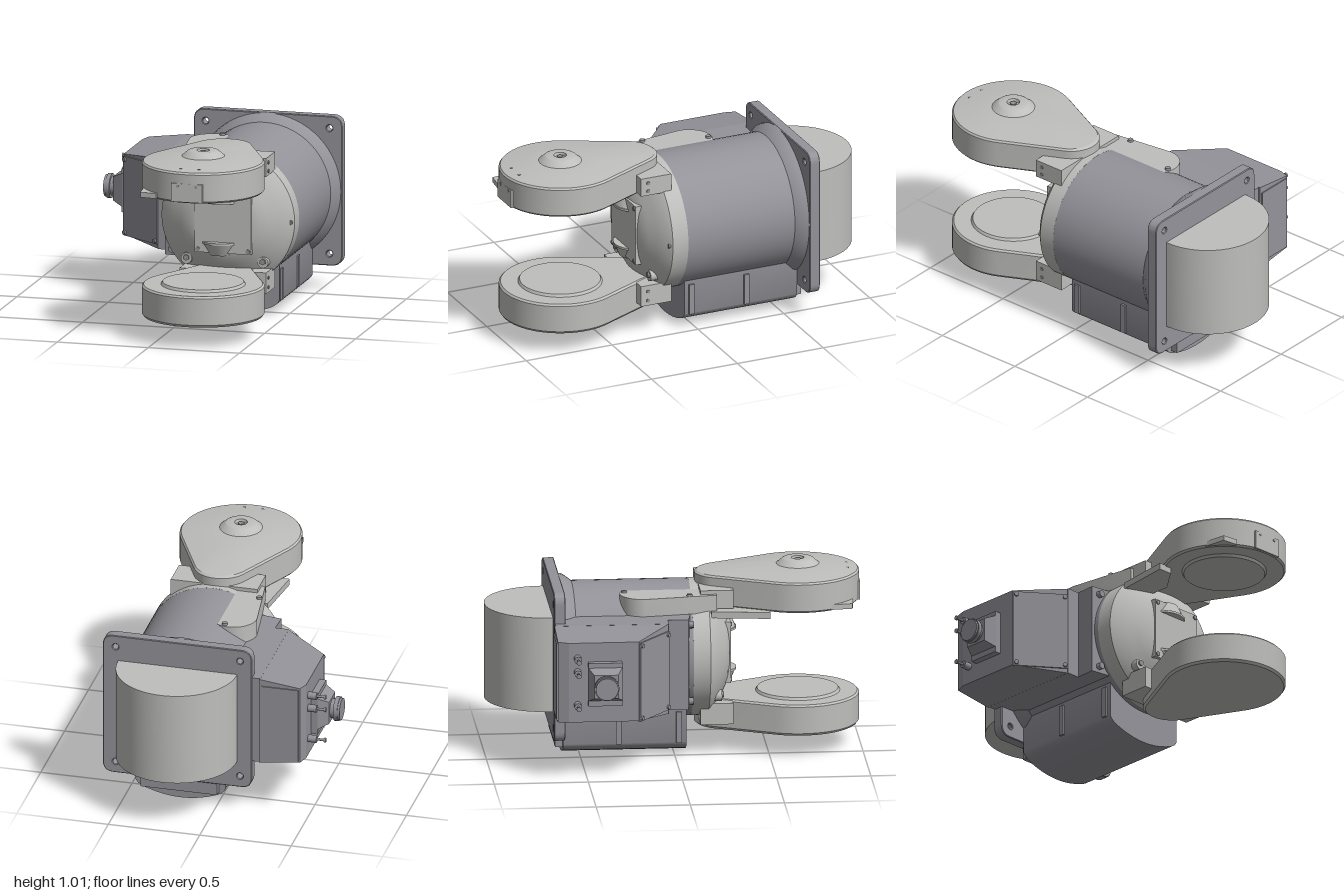
import * as THREE from 'three';
import { toCreasedNormals } from 'three/addons/utils/BufferGeometryUtils.js';

const CX = 0.21, CY = 0.54; // main axis
const ARM_Z = 0.67, R = 0.325, NECK_Z = 0.27, NECK_R = 0.15;

export function createModel() {
  const light = new THREE.MeshStandardMaterial({ color: 0xbebebc, name: 'lightGrey' });
  const grey = new THREE.MeshStandardMaterial({ color: 0x94939a, name: 'midGrey' });
  const group = new THREE.Group();

  const add = (name, geo, mat, x = 0, y = 0, z = 0) => {
    const m = new THREE.Mesh(geo, mat);
    m.name = name;
    m.position.set(x, y, z);
    group.add(m);
    return m;
  };
  const smooth = (g, a = 0.6) => toCreasedNormals(g, a);
  const box = (name, mat, x0, x1, y0, y1, z0, z1) => add(name, new THREE.BoxGeometry(x1 - x0, y1 - y0, z1 - z0),
    mat, (x0 + x1) / 2, (y0 + y1) / 2, (z0 + z1) / 2);
  // cylinder along x, y or z
  const rod = (name, mat, axis, r0, r1, len, x, y, z, n = 24) => {
    const g = new THREE.CylinderGeometry(r1, r0, len, n);
    if (axis === 'z') g.rotateX(Math.PI / 2);
    if (axis === 'x') g.rotateZ(Math.PI / 2);
    return add(name, g, mat, x, y, z);
  };
  // plan outline [x, z] extruded upward from y0 to y1
  const slab = (pts, y0, y1) => {
    const s = new THREE.Shape(pts.map(([x, z]) => new THREE.Vector2(x, -z)));
    const g = new THREE.ExtrudeGeometry(s, { depth: y1 - y0, bevelEnabled: false });
    return smooth(g.rotateX(-Math.PI / 2).translate(0, y0, 0));
  };
  // body of revolution around the main axis, points [radius, z]
  const turned = (name, mat, pts) => add(name, smooth(new THREE.LatheGeometry(
    pts.map(([r, z]) => new THREE.Vector2(r, z)), 64).rotateX(Math.PI / 2)), mat, CX, CY, 0);

  // Main barrel, flange collar and domed front cap
  turned('barrel', grey, [[0, -0.62], [0.365, -0.62], [0.365, 0.09], [0, 0.09]]);
  turned('flangeCollar', grey, [[0.36, -0.61], [0.405, -0.61], [0.4, -0.575], [0.366, -0.53]]);
  turned('frontCap', light, [[0, 0.09], [0.3655, 0.09], [0.3655, 0.18], [0.34, 0.205], [0.29, 0.235],
    [0.24, 0.265], [0.2, 0.285], [0.16, 0.296], [0, 0.297]]);

  // Mounting flange with rounded corners and bolt holes
  const [x0, x1, y0, y1, c] = [-0.195, 0.62, 0.135, 0.945, 0.06];
  const plate = new THREE.Shape();
  plate.moveTo(x0 + c, y0).lineTo(x1 - c, y0).quadraticCurveTo(x1, y0, x1, y0 + c)
    .lineTo(x1, y1 - c).quadraticCurveTo(x1, y1, x1 - c, y1)
    .lineTo(x0 + c, y1).quadraticCurveTo(x0, y1, x0, y1 - c)
    .lineTo(x0, y0 + c).quadraticCurveTo(x0, y0, x0 + c, y0);
  for (const hx of [-0.13, 0.55]) for (const hy of [0.2, 0.88]) {
    plate.holes.push(new THREE.Path().absarc(hx, hy, 0.016, 0, Math.PI * 2, true));
  }
  add('mountingFlange', smooth(new THREE.ExtrudeGeometry(plate,
    { depth: 0.052, bevelSize: 0.004, bevelThickness: 0.004, bevelOffset: -0.004, bevelSegments: 1 })), grey, 0, 0, -0.652);

  // Rear drum
  const drumPts = [[CX + R, -0.61]];
  for (let i = 0; i <= 40; i++) {
    const a = Math.PI * i / 40;
    drumPts.push([CX + R * Math.cos(a), -0.67 - R * Math.sin(a)]);
  }
  drumPts.push([CX - R, -0.61]);
  add('rearDrum', slab(drumPts, 0.285, 0.8), light);

  // Teardrop outline of the fork arms, counter-clockwise from above
  const b = Math.acos((R - NECK_R) / (ARM_Z - NECK_Z));
  const tear = [];
  const arc = (z, r, from, to, n) => {
    for (let i = 0; i <= n; i++) {
      const t = from + (to - from) * i / n;
      tear.push([r * Math.sin(t), z - ARM_Z + r * Math.cos(t)]);
    }
  };
  arc(ARM_Z, R, b - Math.PI, Math.PI - b, 48);
  arc(NECK_Z, NECK_R, Math.PI - b, Math.PI + b, 20);

  // Loft of scaled outlines, profile [scale, y] listed bottom to top
  const armGeometry = (profile) => {
    const pos = [], idx = [], n = tear.length;
    for (const [s, y] of profile) for (const [x, z] of tear) pos.push(CX + x * s, y, ARM_Z + z * s);
    for (let i = 0; i < profile.length - 1; i++) for (let j = 0; j < n; j++) {
      const a = i * n + j, d = i * n + (j + 1) % n;
      idx.push(a, d, d + n, a, d + n, a + n);
    }
    const g = new THREE.BufferGeometry();
    g.setAttribute('position', new THREE.Float32BufferAttribute(pos, 3));
    g.setIndex(idx);
    return smooth(g, 0.5);
  };
  add('upperArm', armGeometry([[0.002, 0.795], [0.97, 0.795], [1, 0.805], [1, 0.95], [0.975, 0.96],
    [0.6, 0.978], [0.35, 0.985], [0.002, 0.985]]), light);
  add('lowerArm', armGeometry([[0.002, 0.1], [0.5, 0.1], [0.97, 0.122], [1, 0.135], [1, 0.28],
    [0.97, 0.29], [0.002, 0.29]]), light);
  rod('upperInnerDisc', light, 'y', 0.215, 0.225, 0.016, CX, 0.789, ARM_Z, 48);
  rod('lowerInnerDisc', light, 'y', 0.225, 0.215, 0.016, CX, 0.296, ARM_Z, 48);

  // Pivot boss with a socket
  const boss = [[0.12, 0.98], [0.105, 0.992], [0.085, 1.01], [0.075, 1.015], [0.034, 1.015], [0.03, 0.998], [0, 0.998]];
  add('pivotBoss', smooth(new THREE.LatheGeometry(boss.map(p => new THREE.Vector2(...p)), 40)), light, CX, 0, ARM_Z);
  rod('pivotBolt', grey, 'y', 0.018, 0.018, 0.014, CX, 1.002, ARM_Z, 6);

  // Arm root blocks, end tabs and screws
  for (const [p, lo, hi] of [['upper', 0.805, 0.905], ['lower', 0.17, 0.285]]) {
    box(p + 'ArmRoot', light, -0.02, 0.455, lo, hi, 0.135, 0.31);
    for (const dy of [0.25, 0.7]) rod(p + 'RootScrew', grey, 'x', 0.01, 0.01, 0.006, 0.457, lo + (hi - lo) * dy, 0.27, 10);
  }
  box('upperEndTab', light, 0.125, 0.295, 0.8, 0.9, 0.96, 0.995);
  for (const sx of [0.16, 0.26]) {
    rod('endTabScrew', grey, 'z', 0.008, 0.008, 0.004, sx, 0.885, 0.995, 10);
    rod('armTopScrew', grey, 'y', 0.009, 0.009, 0.006, sx, 0.973, 0.39, 10);
    rod('armTopScrew', grey, 'y', 0.009, 0.009, 0.006, sx, 0.966, 0.93, 10);
  }

  // Side tongue bracket running back over the barrel
  const tongue = [[0.16, 0.22], [0.155, -0.17]];
  for (let i = 1; i <= 16; i++) {
    const a = Math.PI * i / 16;
    tongue.push([0.03 + 0.125 * Math.cos(a), -0.165 - 0.125 * Math.sin(a)]);
  }
  tongue.push([-0.04, 0.22]);
  add('tongueBracket', slab(tongue, 0.79, 0.885), light);
  for (const [sx, sz] of [[0.055, -0.265], [-0.045, 0.075]]) rod('tongueScrew', grey, 'y', 0.016, 0.014, 0.012, sx, 0.89, sz, 12);
  add('bracketTab', slab([[-0.06, 0.19], [-0.1, 0.5], [-0.02, 0.5], [0.09, 0.36], [0.09, 0.19]], 0.765, 0.8), light);
  add('armEdgeTab', slab([[-0.09, 0.7], [-0.06, 0.94], [0.03, 0.95], [0.05, 0.75]], 0.8, 0.828), light);

  // Cover plate and wrist bosses on the cap
  box('capPlate', light, 0.06, 0.37, 0.375, 0.71, 0.25, 0.303);
  for (const sx of [0.077, 0.352]) for (const sy of [0.392, 0.693]) rod('capPlateScrew', grey, 'z', 0.012, 0.012, 0.008, sx, sy, 0.306, 10);
  for (const s of [1, -1]) {
    const y = CY + s * 0.145;
    rod('wristBoss', light, 'y', s > 0 ? 0.115 : 0.085, s > 0 ? 0.085 : 0.115, 0.07, 0.19, y, 0.225, 32);
    rod('wristBossRim', light, 'y', 0.117, 0.117, 0.012, 0.19, CY + s * 0.112, 0.225, 32);
  }
  for (const sx of [0, 0.42]) {
    rod('capLug', light, 'z', 0.03, 0.03, 0.1, sx, 0.325, 0.2, 20);
    rod('capLugBolt', grey, 'z', 0.017, 0.017, 0.012, sx, 0.33, 0.254, 6);
  }
  rod('capSideScrew', grey, 'z', 0.013, 0.013, 0.02, 0.555, CY, 0.19, 12);

  // Bottom housing with side ribs
  const sump = new THREE.Shape();
  sump.moveTo(-0.035, 0.34).lineTo(-0.035, 0.085).quadraticCurveTo(-0.03, 0.055, 0.02, 0.037)
    .quadraticCurveTo(0.21, -0.034, 0.4, 0.037).quadraticCurveTo(0.45, 0.055, 0.458, 0.085).lineTo(0.458, 0.34);
  add('bottomHousing', smooth(new THREE.ExtrudeGeometry(sump,
    { depth: 0.655, bevelEnabled: false, curveSegments: 16 })), grey, 0, 0, -0.595);
  for (const rx of [-0.037, 0.46]) for (const rz of [0.02, -0.3]) {
    box('housingRib', grey, rx - 0.008, rx + 0.008, 0.08, 0.25, rz - 0.015, rz + 0.015);
  }
  box('housingFoot', grey, 0, 0.42, 0.06, 0.16, -0.635, -0.59);

  // Side housing, outer part tapering in height
  add('sideHousing', slab([[-0.24, -0.65], [0, -0.65], [-0.04, 0.08], [-0.17, 0.06], [-0.165, -0.05], [-0.24, -0.05]], 0.295, 0.788), grey);
  const outer = slab([[-0.478, -0.6], [-0.458, -0.658], [-0.235, -0.658], [-0.235, -0.05], [-0.478, -0.23]], 0.295, 0.788);
  const p = outer.attributes.position;
  for (let i = 0; i < p.count; i++) {
    const k = (-0.235 - p.getX(i)) / 0.243;
    p.setY(i, CY + (p.getY(i) - CY) * (1 - 0.12 * k));
  }
  outer.computeVertexNormals();
  add('electricalBox', outer, grey);

  // Sloping access cover with corner screws
  const cover = new THREE.Group();
  cover.name = 'accessCover';
  cover.position.set(-0.357, 0.535, -0.14);
  cover.rotation.y = -Math.atan2(0.18, 0.243);
  cover.add(new THREE.Mesh(new THREE.BoxGeometry(0.29, 0.43, 0.016), grey));
  for (const sx of [-0.13, 0.13]) for (const sy of [-0.198, 0.198]) {
    const s = new THREE.Mesh(new THREE.CylinderGeometry(0.012, 0.012, 0.012, 10).rotateX(Math.PI / 2), grey);
    s.position.set(sx, sy, 0.012);
    cover.add(s);
  }
  group.add(cover);
  for (const sy of [0.33, 0.75]) rod('housingBolt', grey, 'z', 0.02, 0.02, 0.03, -0.125, sy, 0.075, 6);

  // Connector block, plug and small terminals
  box('rearPanel', grey, -0.45, -0.25, 0.33, 0.75, -0.664, -0.655);
  box('connectorBase', grey, -0.515, -0.47, 0.42, 0.655, -0.5, -0.32);
  const plug = smooth(new THREE.CylinderGeometry(0.09, 0.13, 0.06, 4, 1).rotateY(Math.PI / 4).rotateZ(Math.PI / 2));
  add('connectorBlock', plug, grey, -0.54, CY, -0.41);
  rod('plugCollar', grey, 'x', 0.052, 0.052, 0.05, -0.575, CY, -0.41);
  rod('plugRing', grey, 'x', 0.066, 0.066, 0.022, -0.602, CY, -0.41);
  rod('plugEnd', grey, 'x', 0.06, 0.06, 0.02, -0.615, CY, -0.41);
  for (const [ty, tz] of [[0.675, -0.555], [0.6, -0.555], [0.42, -0.555]]) {
    rod('terminalNut', grey, 'x', 0.02, 0.02, 0.05, -0.5, ty, tz, 12);
    rod('terminalPin', grey, 'x', 0.007, 0.007, 0.06, -0.54, ty, tz, 8);
    rod('terminalHead', grey, 'x', 0.013, 0.013, 0.01, -0.57, ty, tz, 10);
  }
  return group;
}
